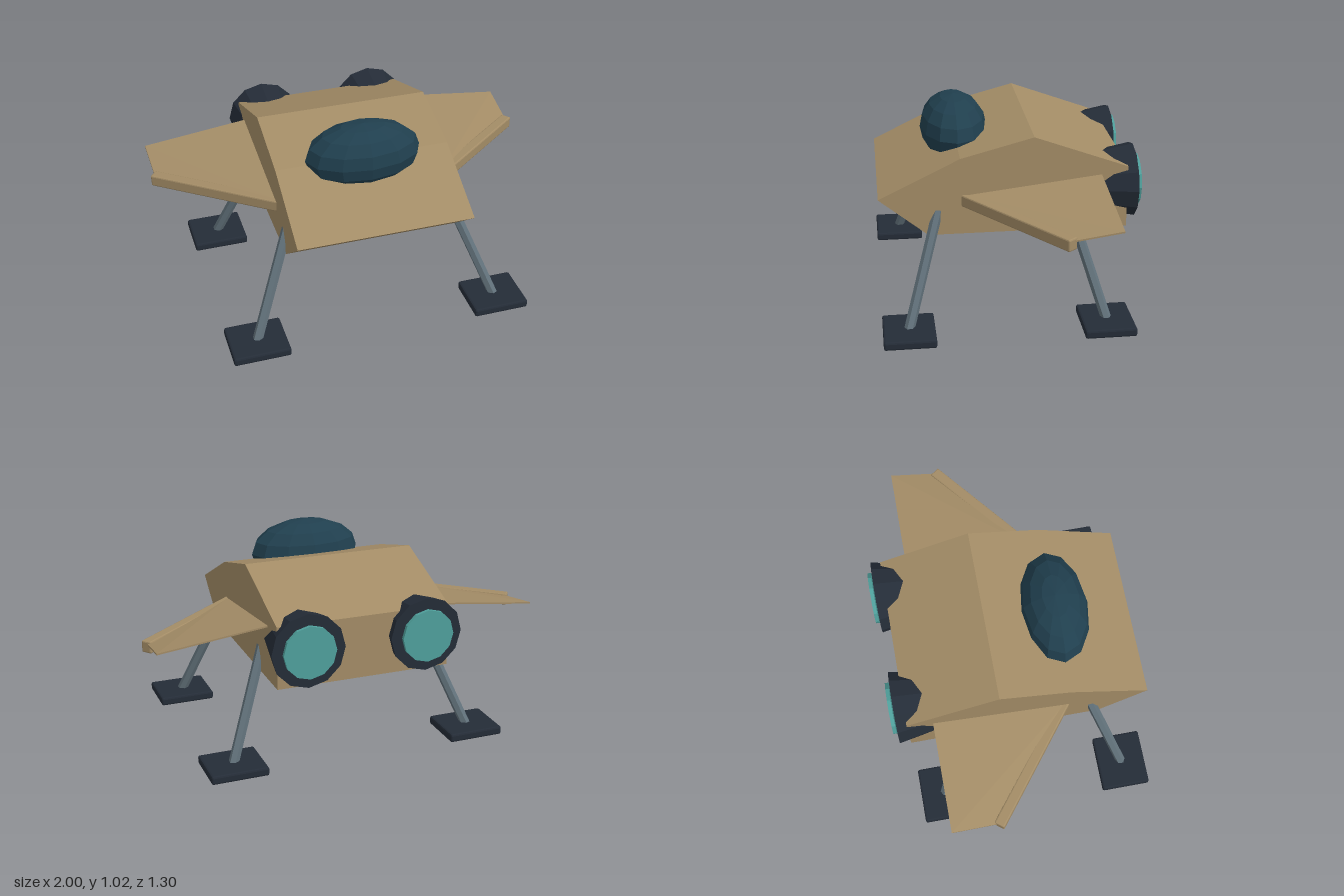
import * as THREE from 'three';
import { RoundedBoxGeometry } from 'three/addons/geometries/RoundedBoxGeometry.js';
import { ConvexGeometry } from 'three/addons/geometries/ConvexGeometry.js';

const paint = (color) => new THREE.MeshStandardMaterial({ color, flatShading: true });
const v = (x, y, z) => new THREE.Vector3(x, y, z);

export function createModel() {
  const model = new THREE.Group();
  const tan = paint(0xa38c66);
  const dark = paint(0x242c37);
  const steel = paint(0x62727b);
  const glass = paint(0x203f4e);
  const glow = paint(0x4fa09c);

  const add = (name, geometry, material, parent = model) => {
    const mesh = new THREE.Mesh(geometry, material);
    mesh.name = name;
    parent.add(mesh);
    return mesh;
  };

  // Lay a mesh whose long axis is `axis` between two points
  const span = (mesh, axis, a, b) => {
    mesh.position.copy(a).add(b).multiplyScalar(0.5);
    mesh.quaternion.setFromUnitVectors(axis, b.clone().sub(a).normalize());
  };

  // Hull: side profile (z, y) extruded across the width
  const profile = [[0.65, 0.64], [0.25, 0.835], [-0.11, 0.93], [-0.575, 0.76], [-0.575, 0.445], [0.41, 0.445]];
  const shape = new THREE.Shape(profile.map(([z, y]) => new THREE.Vector2(-z, y)));
  const hull = new THREE.ExtrudeGeometry(shape, { depth: 0.89, bevelEnabled: false });
  hull.translate(0, 0, -0.445).rotateY(Math.PI / 2);
  add('hull', hull, tan);

  // Canopy bubble
  const canopy = add('canopy', new THREE.SphereGeometry(1, 12, 8), glass);
  canopy.scale.set(0.295, 0.167, 0.17);
  canopy.position.set(0, 0.858, 0.248);

  for (const s of [1, -1]) {
    const side = s > 0 ? 'left' : 'right';

    // Wing: thin tapered panel
    const wing = new THREE.Group();
    wing.name = side + 'Wing';
    model.add(wing);
    const corners = [[0.43, 0.642, 0.235], [0.975, 0.615, -0.2], [0.985, 0.655, -0.445], [0.43, 0.722, -0.445]];
    const points = corners.flatMap(([x, y, z]) => [v(s * x, y - 0.004, z), v(s * x, y + 0.004, z)]);
    add('wingPanel', new ConvexGeometry(points), tan, wing);

    // Bevelled bar along the leading edge
    const a = v(s * 0.4, 0.618, 0.246);
    const b = v(s * 0.983, 0.604, -0.211);
    const bar = add('leadingEdge', new RoundedBoxGeometry(a.distanceTo(b), 0.06, 0.055, 1, 0.007), tan, wing);
    span(bar, v(s, 0, 0), a, b);

    // Engine: flared nozzle with a glowing disc behind it
    const engine = new THREE.Group();
    engine.name = side + 'Engine';
    engine.position.set(s * 0.304, 0.64, 0);
    model.add(engine);
    const nozzle = add('nozzle', new THREE.CylinderGeometry(0.105, 0.186, 0.425, 12), dark, engine);
    nozzle.rotation.x = Math.PI / 2;
    nozzle.position.z = -0.4125;
    const disc = add('exhaustGlow', new THREE.CylinderGeometry(0.133, 0.133, 0.018, 12), glow, engine);
    disc.rotation.x = Math.PI / 2;
    disc.position.z = -0.641;

    // Landing legs with bevelled foot pads
    for (const [end, topZ, footZ] of [['Front', 0.35, 0.525], ['Rear', -0.275, -0.45]]) {
      const leg = new THREE.Group();
      leg.name = side + end + 'Leg';
      model.add(leg);
      const hip = v(s * 0.41, 0.6, topZ);
      const ankle = v(s * 0.635, 0.03, footZ);
      const strut = add('strut', new THREE.CylinderGeometry(0.026, 0.026, hip.distanceTo(ankle), 6), steel, leg);
      span(strut, v(0, 1, 0), ankle, hip);
      const foot = add('footPad', new RoundedBoxGeometry(0.29, 0.044, 0.255, 1, 0.01), dark, leg);
      foot.position.set(s * 0.635, 0.022, footZ);
    }
  }
  return model;
}
